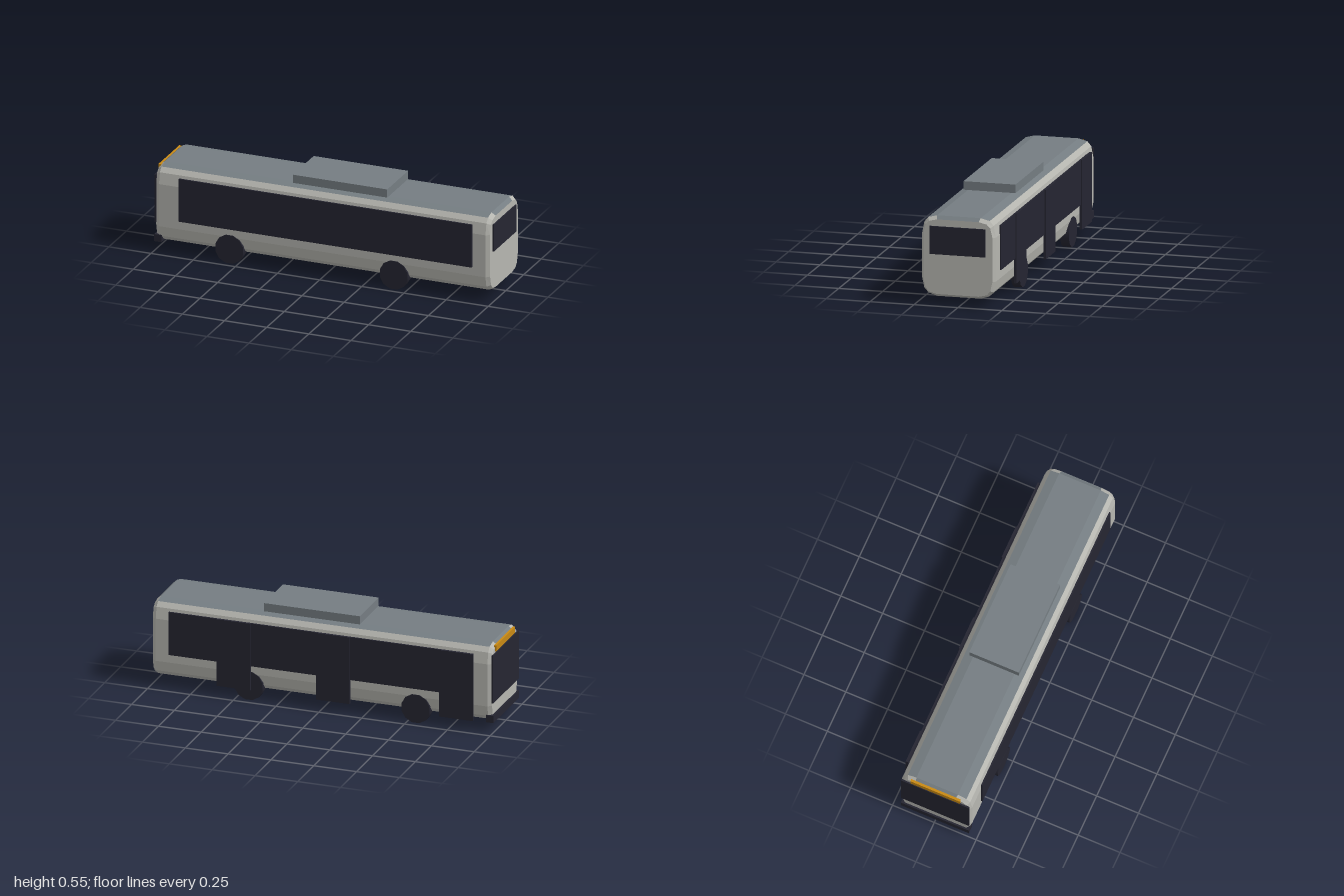
import * as THREE from 'three';

const mat = (name, color) => {
  const m = new THREE.MeshStandardMaterial({ color });
  m.name = name;
  return m;
};

export function createModel() {
  const bus = new THREE.Group();
  bus.name = 'bus';
  const paint = mat('bodyPaint', 0xb6b6b0);
  const roofGrey = mat('roofGrey', 0x757d82);
  const dark = mat('darkGlass', 0x252531);
  const amber = mat('amberSign', 0xc98a14);
  paint.flatShading = roofGrey.flatShading = true;

  // Box given by its minimum and maximum on each axis
  const box = (name, m, x0, x1, y0, y1, z0, z1) => {
    const mesh = new THREE.Mesh(new THREE.BoxGeometry(x1 - x0, y1 - y0, z1 - z0), m);
    mesh.position.set((x0 + x1) / 2, (y0 + y1) / 2, (z0 + z1) / 2);
    mesh.name = name;
    bus.add(mesh);
  };

  // Body cross-sections as [z, y], top to bottom on one side, then mirrored
  const mirror = (half) => [...half, ...half.map(([z, y]) => [-z, y]).reverse()];
  const full = mirror([[0.124, 0.504], [0.175, 0.491], [0.197, 0.465], [0.21, 0.4],
    [0.21, 0.152], [0.197, 0.092], [0.172, 0.066], [0.124, 0.051]]);
  const inset = mirror([[0.118, 0.486], [0.164, 0.475], [0.184, 0.455], [0.197, 0.4],
    [0.197, 0.155], [0.184, 0.1], [0.164, 0.077], [0.118, 0.066]]);
  const rings = [[-0.99, inset], [-0.968, full], [0.968, full], [0.99, inset]]
    .map(([x, pts]) => pts.map(([z, y]) => [x, y, z + 0.003]));

  const n = full.length;
  const shell = [], roof = [];
  for (let r = 0; r < 3; r++) {
    for (let i = 0; i < n; i++) {
      const j = (i + 1) % n;
      const [a, b, c, d] = [rings[r][i], rings[r][j], rings[r + 1][j], rings[r + 1][i]];
      const isRoof = i === n - 1 || (r === 1 && (i === 0 || i === n - 2));
      (isRoof ? roof : shell).push(...a, ...b, ...c, ...a, ...c, ...d);
    }
  }
  // End faces
  for (let i = 1; i < n - 1; i++) {
    shell.push(...rings[3][0], ...rings[3][i], ...rings[3][i + 1]);
    shell.push(...rings[0][0], ...rings[0][i + 1], ...rings[0][i]);
  }
  for (const [name, data, m] of [['bodyShell', shell, paint], ['roofPanel', roof, roofGrey]]) {
    const g = new THREE.BufferGeometry();
    g.setAttribute('position', new THREE.Float32BufferAttribute(data, 3));
    g.computeVertexNormals();
    const mesh = new THREE.Mesh(g, m);
    mesh.name = name;
    bus.add(mesh);
  }

  // Roof unit
  box('roofUnit', roofGrey, -0.2, 0.36, 0.505, 0.553, -0.144, 0.152);

  // Side window bands
  box('leftWindows', dark, -0.848, 0.89, 0.2, 0.452, 0.212, 0.221);
  box('rightWindows', dark, -0.848, 0.89, 0.2, 0.452, -0.215, -0.206);

  // Doors on one side
  for (const x of [-0.79, -0.07, 0.51]) {
    box('door', dark, x - 0.098, x + 0.098, 0.06, 0.452, -0.221, -0.207);
  }

  // Rear window, windscreen, sign and front bumper
  box('rearWindow', dark, 0.989, 0.998, 0.291, 0.448, -0.155, 0.163);
  box('windscreen', dark, -0.999, -0.989, 0.17, 0.45, -0.2, 0.206);
  box('destinationSign', amber, -0.997, -0.983, 0.457, 0.492, -0.145, 0.151);
  box('frontBumper', dark, -1, -0.956, 0.056, 0.098, -0.2, 0.206);

  // Wheels
  const wheelGeo = new THREE.CylinderGeometry(0.085, 0.085, 0.05, 12);
  wheelGeo.rotateY(Math.PI / 12).rotateX(Math.PI / 2);
  for (const x of [-0.55, 0.425]) {
    for (const z of [0.192, -0.185]) {
      const wheel = new THREE.Mesh(wheelGeo, dark);
      wheel.position.set(x, 0.082, z);
      wheel.name = 'wheel';
      bus.add(wheel);
    }
  }
  return bus;
}
